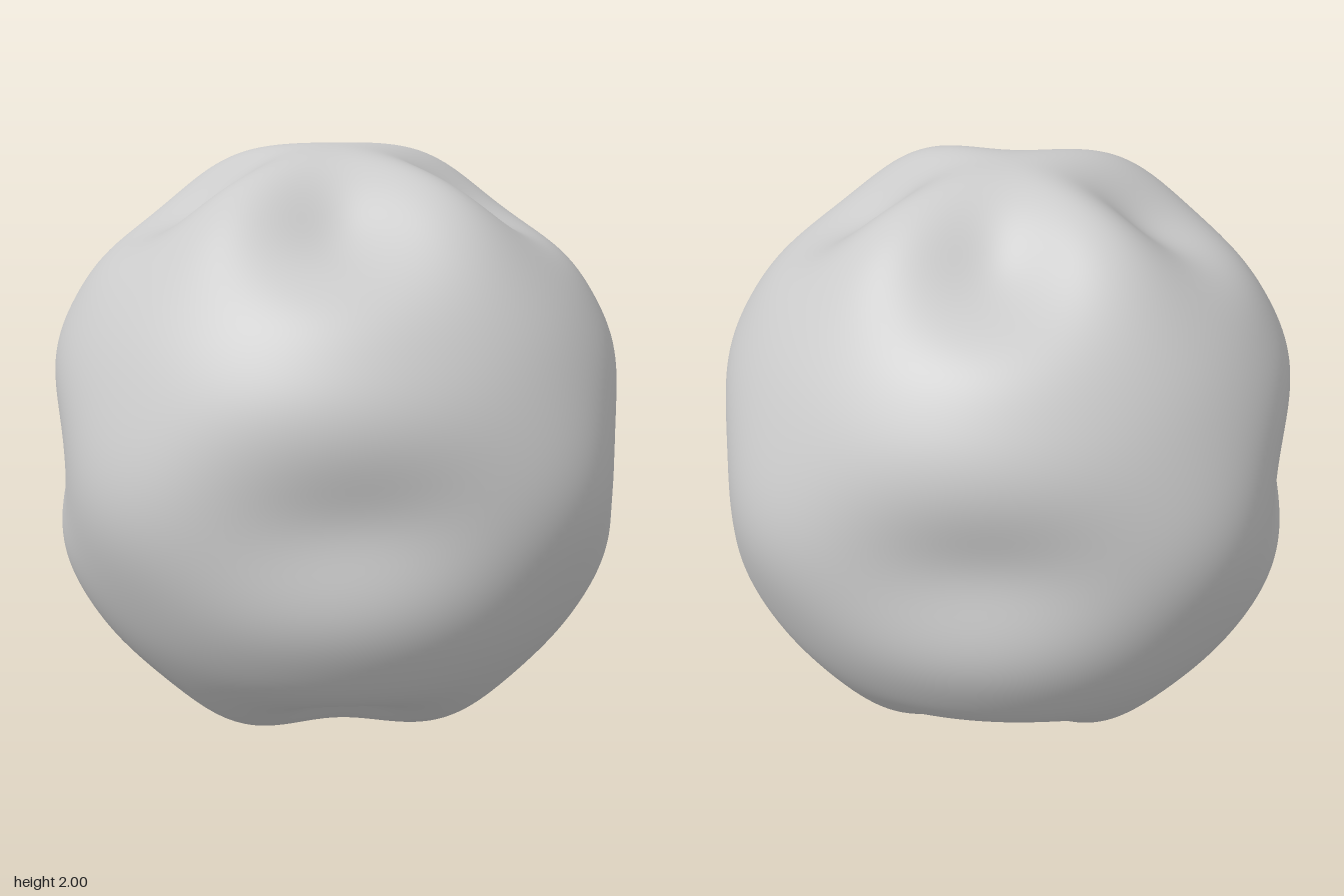
import * as THREE from 'three';
import { mergeVertices } from 'three/addons/utils/BufferGeometryUtils.js';

// Radius by latitude and azimuth: three rings (equator and near each pole)
// carry four dents on the axes and four bumps on the diagonals.
function radiusAt(latitude, azimuth) {
  const ring = Math.pow(Math.abs(Math.cos(3 * latitude)), 3.5);
  return 1 - ring * (0.036 + 0.062 * Math.cos(4 * azimuth));
}

export function createModel() {
  const group = new THREE.Group();
  group.name = 'bumpyBall';

  // Merge the seam and poles so the normals stay smooth all round
  let geometry = new THREE.SphereGeometry(1, 192, 128);
  geometry.deleteAttribute('uv');
  geometry.deleteAttribute('normal');
  geometry = mergeVertices(geometry, 1e-5);

  const position = geometry.attributes.position;
  const v = new THREE.Vector3();
  for (let i = 0; i < position.count; i++) {
    v.fromBufferAttribute(position, i).normalize();
    const latitude = Math.asin(THREE.MathUtils.clamp(v.y, -1, 1));
    v.multiplyScalar(radiusAt(latitude, Math.atan2(v.x, v.z)));
    position.setXYZ(i, v.x, v.y + 1, v.z);
  }
  geometry.computeVertexNormals();

  const ball = new THREE.Mesh(geometry, new THREE.MeshStandardMaterial({ color: 0xcccccc }));
  ball.name = 'dimpledSphere';
  group.add(ball);
  return group;
}
